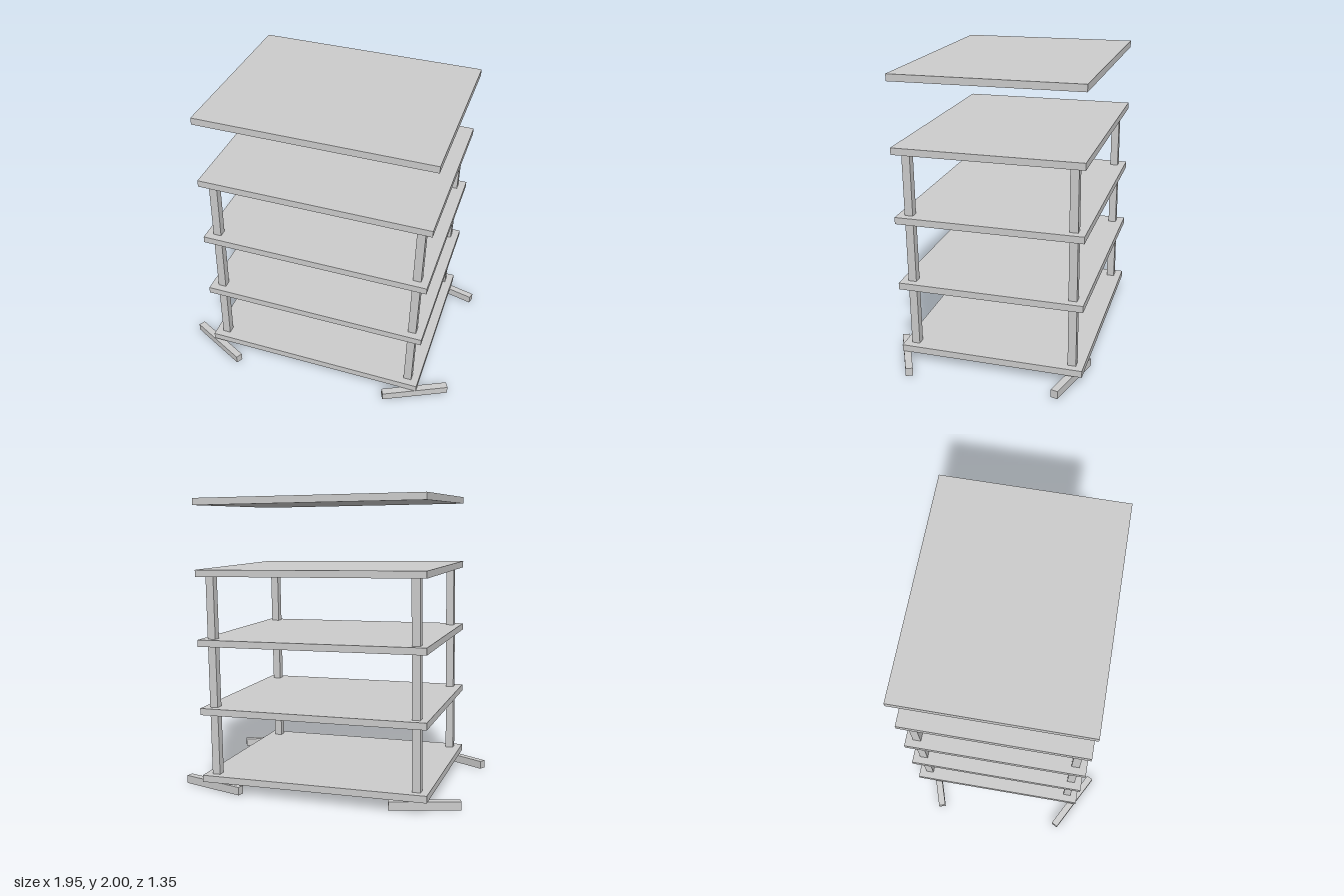
import * as THREE from 'three';

export function createModel() {
  const model = new THREE.Group();
  const material = new THREE.MeshStandardMaterial({ color: 0xcccccc, flatShading: true });

  function addBox(parent, name, size, position, yaw = 0) {
    const mesh = new THREE.Mesh(new THREE.BoxGeometry(...size), material);
    mesh.name = name;
    mesh.position.set(...position);
    mesh.rotation.y = yaw;
    parent.add(mesh);
    return mesh;
  }

  // Shelf stack, leaning slightly to one side and forward
  const stack = new THREE.Group();
  stack.name = 'shelfStack';
  stack.position.set(-0.005, 0.0975, -0.048);
  stack.rotation.set(0.005, -0.007, -0.0165);
  model.add(stack);

  const width = 1.556, depth = 1.245, thickness = 0.046;
  const spacing = 0.4663, post = 0.055;

  // Four shelves and a floating top panel
  for (let i = 0; i < 5; i++) {
    addBox(stack, i < 4 ? 'shelf' : 'topPanel', [width, thickness, depth], [0, i * spacing, 0]);
  }

  // Corner posts between the four shelves
  for (let level = 0; level < 3; level++) {
    for (const sx of [-1, 1]) {
      for (const sz of [-1, 1]) {
        addBox(stack, 'cornerPost', [post, spacing - thickness, post],
          [sx * 0.7, (level + 0.5) * spacing, sz * 0.545]);
      }
    }
  }

  // Loose feet on the ground, each turned by its own angle: x, z, degrees
  const feet = [
    ['frontRightFoot', -0.76, 0.543, -28.6],
    ['frontLeftFoot', 0.753, 0.553, 25.7],
    ['backRightFoot', -0.735, -0.535, 18],
    ['backLeftFoot', 0.728, -0.588, -15.5],
  ];
  for (const [name, x, z, angle] of feet) {
    addBox(model, name, [0.468, 0.055, 0.048], [x, 0.0275, z], THREE.MathUtils.degToRad(angle));
  }

  return model;
}
